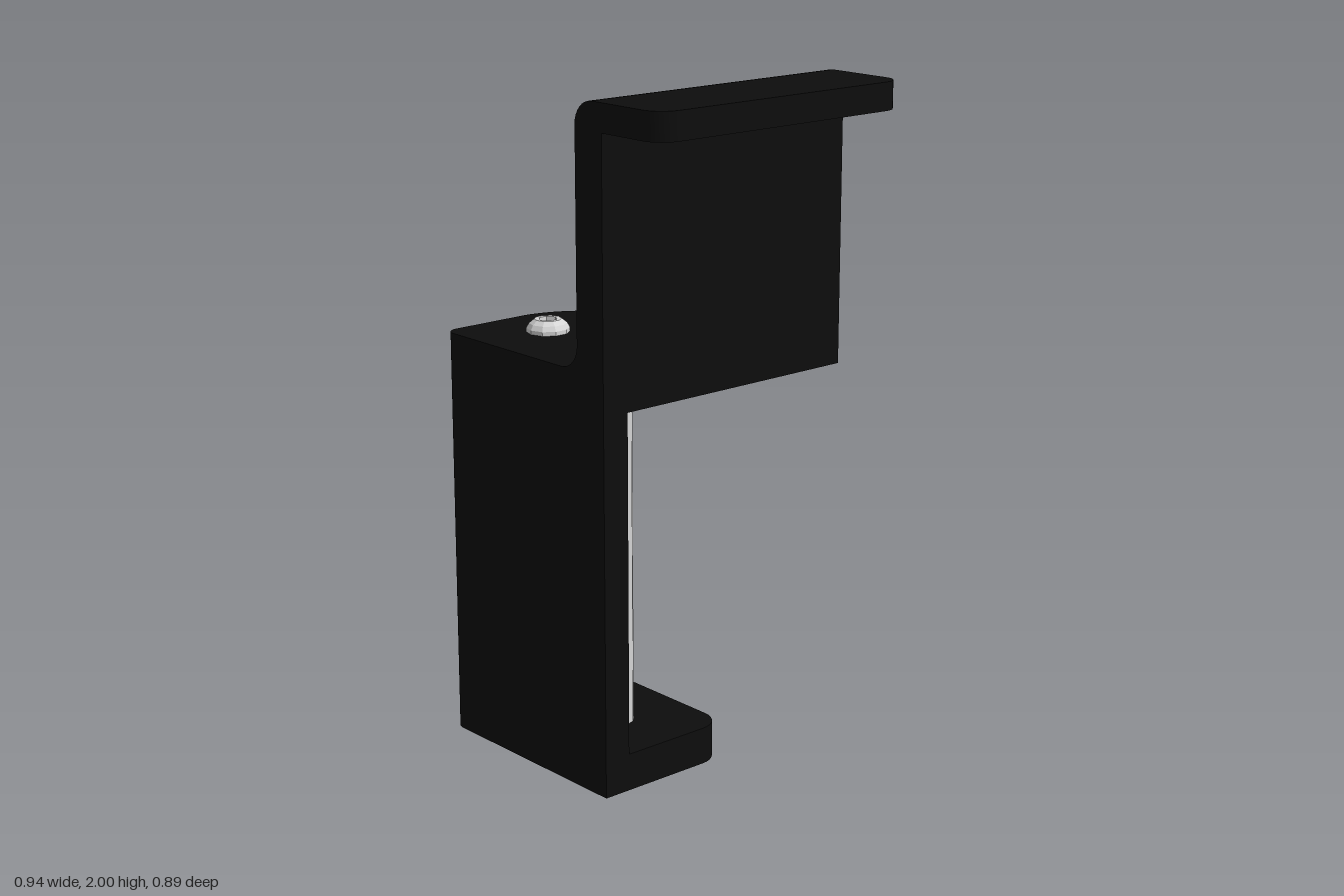
import * as THREE from 'three';
import { toCreasedNormals } from 'three/addons/utils/BufferGeometryUtils.js';

const black = new THREE.MeshStandardMaterial({ color: 0x0d0d0d });
black.name = 'black coating';
const steel = new THREE.MeshStandardMaterial({ color: 0xd6d6d6 });
steel.name = 'steel';

// Closed outline from corners [x, y, cut]; cut is the length rounded off each side.
function roundedShape(corners) {
  const shape = new THREE.Shape();
  const n = corners.length;
  corners.forEach(([x, y, cut = 0], i) => {
    const p = new THREE.Vector2(x, y);
    const toward = (j, d) => {
      const q = new THREE.Vector2(corners[j][0], corners[j][1]);
      return q.sub(p).normalize().multiplyScalar(d).add(p);
    };
    const prev = (i + n - 1) % n, next = (i + 1) % n;
    const a = toward(prev, cut), b = toward(next, cut);
    if (i === 0) shape.moveTo(a.x, a.y); else shape.lineTo(a.x, a.y);
    if (cut) {
      const c = toward(prev, cut * 0.45), d = toward(next, cut * 0.45);
      shape.bezierCurveTo(c.x, c.y, d.x, d.y, b.x, b.y);
    }
  });
  shape.closePath();
  return shape;
}

function extrude(corners, depth) {
  return new THREE.ExtrudeGeometry(roundedShape(corners), { depth, bevelEnabled: false, curveSegments: 8 });
}

// Slab drawn in plan with corners [x, z, cut], between two heights.
function slab(name, corners, y0, y1) {
  const geo = extrude(corners.map(([x, z, c]) => [x, -z, c]), y1 - y0);
  geo.rotateX(-Math.PI / 2).translate(0, y0, 0);
  return named(name, toCreasedNormals(geo, 0.6), black);
}

function named(name, geo, mat) {
  const mesh = new THREE.Mesh(geo, mat);
  mesh.name = name;
  return mesh;
}

function flat(geo) {
  const g = geo.index ? geo.toNonIndexed() : geo;
  g.computeVertexNormals();
  return g;
}

// Domed bolt head with a hexagonal socket, sitting on y = 0.
function boltHead(name) {
  const head = new THREE.Group();
  head.name = name;
  const v = (x, y) => new THREE.Vector2(x, y);
  const ring = (r, n) => Array.from({ length: n }, (_, i) => {
    const a = (i / n) * Math.PI * 2;
    return v(r * Math.sin(a), -r * Math.cos(a));
  });
  const dome = new THREE.LatheGeometry([v(0.063, 0), v(0.063, 0.014), v(0.055, 0.028), v(0.04, 0.04)], 10);
  const face = new THREE.Shape(ring(0.04, 10));
  face.holes.push(new THREE.Path(ring(0.028, 6)));
  const top = new THREE.ShapeGeometry(face).rotateX(-Math.PI / 2).translate(0, 0.04, 0);
  const socket = new THREE.LatheGeometry([v(0.028, 0.04), v(0.026, 0.018), v(0, 0.01)], 6);
  head.add(
    named('boltDome', flat(dome), steel),
    named('boltTop', top, steel),
    named('boltSocket', flat(socket), steel),
  );
  return head;
}

export function createModel() {
  const model = new THREE.Group();
  model.name = 'clampBracket';

  // Lower jaw, front plate and upper jaw
  model.add(
    slab('lowerJaw', [[-0.47, 0.445, 0.04], [0.24, 0.445, 0], [0.24, 0, 0.08], [-0.47, 0, 0.16]], 0.04, 0.15),
    slab('frontPlate', [[-0.47, 0.445, 0.04], [0.24, 0.445, 0], [0.24, 0.36, 0], [-0.47, 0.36, 0]], 0.15, 1.15),
    slab('upperJaw', [[-0.47, 0.445, 0.04], [0.13, 0.445, 0], [0.13, -0.445, 0],
      [0.035, -0.445, 0.09], [-0.47, 0.06, 0.1]], 1.15, 1.26),
  );

  // Upright wall with a rounded top edge and a fillet at its foot
  const wall = extrude([[0.24, 1.15], [0.24, 2], [0.13, 2, 0.07], [0.13, 1.15]], 0.89);
  model.add(named('uprightWall', toCreasedNormals(wall.translate(0, 0, -0.445), 0.6), black));
  const foot = new THREE.Shape();
  foot.moveTo(0.13, 1.26);
  foot.lineTo(0.13, 1.33);
  foot.absarc(0.06, 1.33, 0.07, 0, -Math.PI / 2, true);
  foot.closePath();
  const fillet = new THREE.ExtrudeGeometry(foot, { depth: 0.89, bevelEnabled: false, curveSegments: 8 });
  model.add(named('wallFillet', toCreasedNormals(fillet.translate(0, 0, -0.445), 0.6), black));

  // Top flange
  model.add(slab('topFlange', [[0.24, 0.445, 0], [0.47, 0.445, 0.065], [0.47, -0.445, 0.065], [0.24, -0.445, 0]], 1.92, 2));

  // Clamping rods with a bolt head at each end
  for (const x of [-0.27, 0.02]) {
    const bolt = new THREE.Group();
    bolt.name = 'clampBolt';
    bolt.position.set(x, 0, 0.225);
    const rod = named('rod', new THREE.CylinderGeometry(0.054, 0.054, 1.02, 12), steel);
    rod.position.y = 0.65;
    const upper = boltHead('upperHead');
    upper.position.y = 1.258;
    const lower = boltHead('lowerHead');
    lower.position.y = 0.04;
    lower.rotation.x = Math.PI;
    bolt.add(rod, upper, lower);
    model.add(bolt);
  }
  return model;
}
